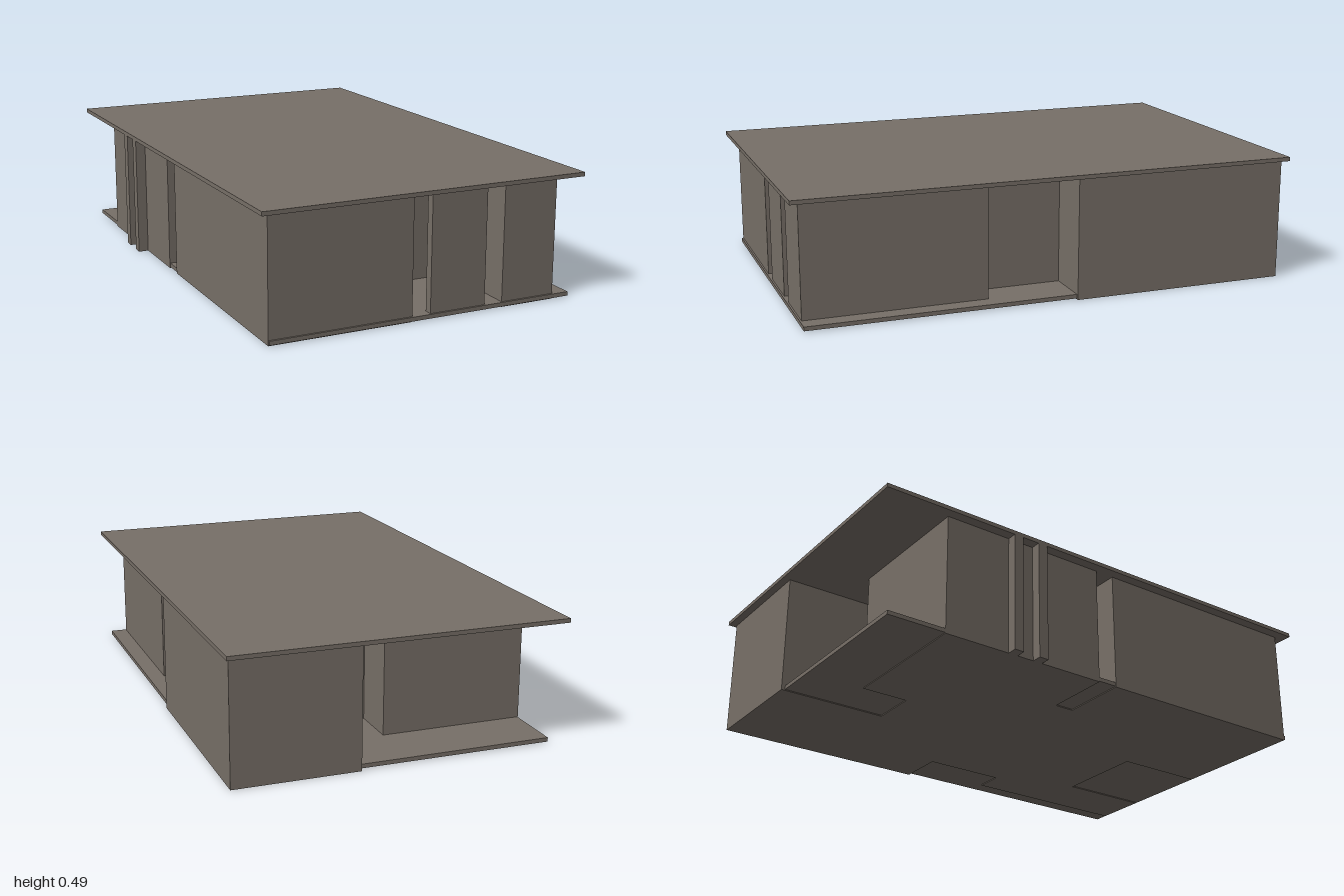
import * as THREE from 'three';

export function createModel() {
  const group = new THREE.Group();
  group.name = 'flatRoofHouse';
  const stone = new THREE.MeshStandardMaterial({ color: 0x776f67 });
  stone.name = 'warm grey';
  const wood = new THREE.MeshStandardMaterial({ color: 0x603610 });
  wood.name = 'brown';

  const add = (name, geometry, material = stone) => {
    const mesh = new THREE.Mesh(geometry, material);
    mesh.name = name;
    group.add(mesh);
    return mesh;
  };
  // Box given by its lower and upper limits on each axis
  const box = (name, [x0, x1], [y0, y1], [z0, z1], material = stone) =>
    add(name, new THREE.BoxGeometry(x1 - x0, y1 - y0, z1 - z0), material)
      .position.set((x0 + x1) / 2, (y0 + y1) / 2, (z0 + z1) / 2);

  const wallTop = 0.476;

  // Roof and floor slabs
  box('roof', [-0.65, 0.65], [wallTop, 0.492], [-1, 1]);
  box('floor', [-0.608, 0.627], [0.004, 0.02], [-0.955, 0.96]);

  // Walls: plan outline (x, z) with its entry alcove, patios and side slot
  const outline = [
    [-0.61, 0.953], [-0.045, 0.953], [-0.045, 0.58], [0.335, 0.58],
    [0.335, 0.953], [0.56, 0.953], [0.56, 0.235], [0.445, 0.235],
    [0.445, -0.1], [0.636, -0.1], [0.636, -0.97], [0.148, -0.97],
    [0.148, -0.53], [-0.04, -0.53], [-0.04, -0.72], [-0.61, -0.72],
    [-0.61, -0.03], [-0.34, -0.03], [-0.34, 0.05], [-0.61, 0.05],
  ];
  const plan = new THREE.Shape(outline.map(([x, z]) => new THREE.Vector2(x, -z)));
  const walls = new THREE.ExtrudeGeometry(plan, { depth: wallTop, bevelEnabled: false });
  walls.rotateX(-Math.PI / 2);
  add('walls', walls);

  // Free-standing screen wall in front of the entry alcove
  box('entryScreen', [0.03, 0.26], [0.004, wallTop], [0.92, 0.953]);

  // Pair of fins on the side wall
  for (const z of [-0.43, -0.32]) {
    box('sideFin', [-0.65, -0.609], [0, wallTop], [z - 0.02, z + 0.02]);
  }

  // Sculpture in the alcove: plinth, turned body and pointed tip
  const sx = 0.295, sz = 0.75;
  box('plinth', [sx - 0.037, sx + 0.037], [0.02, 0.1], [sz - 0.037, sz + 0.037], wood);
  const profile = [
    [0.026, 0.1], [0.025, 0.13], [0.021, 0.18], [0.021, 0.21], [0.024, 0.26],
    [0.024, 0.29], [0.02, 0.32], [0.013, 0.342],
  ].map(([r, y]) => new THREE.Vector2(r, y));
  const curve = new THREE.SplineCurve(profile);
  add('sculptureBody', new THREE.LatheGeometry(curve.getPoints(24), 24)).position.set(sx, 0, sz);
  add('sculptureTip', new THREE.ConeGeometry(0.015, 0.022, 24), wood).position.set(sx, 0.351, sz);

  return group;
}
